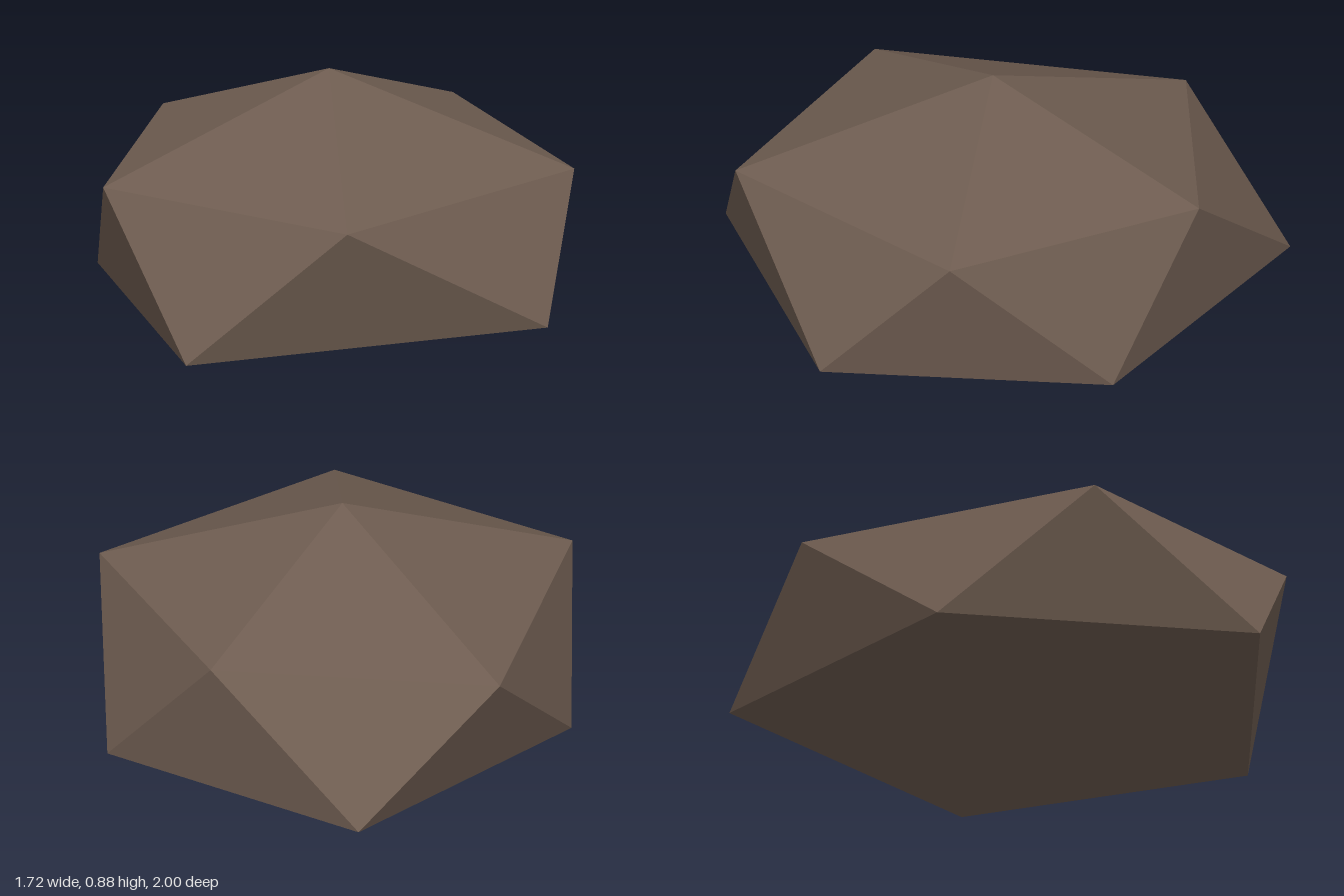
import * as THREE from 'three';

// Low-poly boulder: two staggered five-point rings between a crown and a base point.
export function createModel() {
  const stone = new THREE.MeshStandardMaterial({ color: 0x6e5c50, flatShading: true });
  stone.name = 'brown stone';

  const crown = [-0.03, 0.885, 0];
  const base = [-0.03, 0, 0];
  // Rings run counter-clockwise from above; lower[i] sits between upper[i] and upper[i + 1]
  const upper = [
    [0.85, 0.577, 0], [0.24, 0.572, -0.78], [-0.75, 0.53, -0.56],
    [-0.72, 0.567, 0.54], [0.23, 0.563, 0.87],
  ];
  const lower = [
    [0.675, 0.08, -0.55], [-0.355, 0.12, -1], [-0.86, 0.112, 0],
    [-0.32, 0.083, 1], [0.857, 0.137, 0.46],
  ];

  const corners = [];
  const face = (a, b, c) => corners.push(...a, ...b, ...c);
  for (let i = 0; i < 5; i++) {
    const j = (i + 1) % 5;
    face(crown, upper[i], upper[j]);
    face(upper[i], lower[i], upper[j]);
    face(lower[i], lower[j], upper[j]);
    face(base, lower[j], lower[i]);
  }

  const geometry = new THREE.BufferGeometry();
  geometry.setAttribute('position', new THREE.Float32BufferAttribute(corners, 3));
  geometry.computeVertexNormals();

  const boulder = new THREE.Mesh(geometry, stone);
  boulder.name = 'boulder';
  const model = new THREE.Group();
  model.name = 'rock';
  model.add(boulder);
  return model;
}
